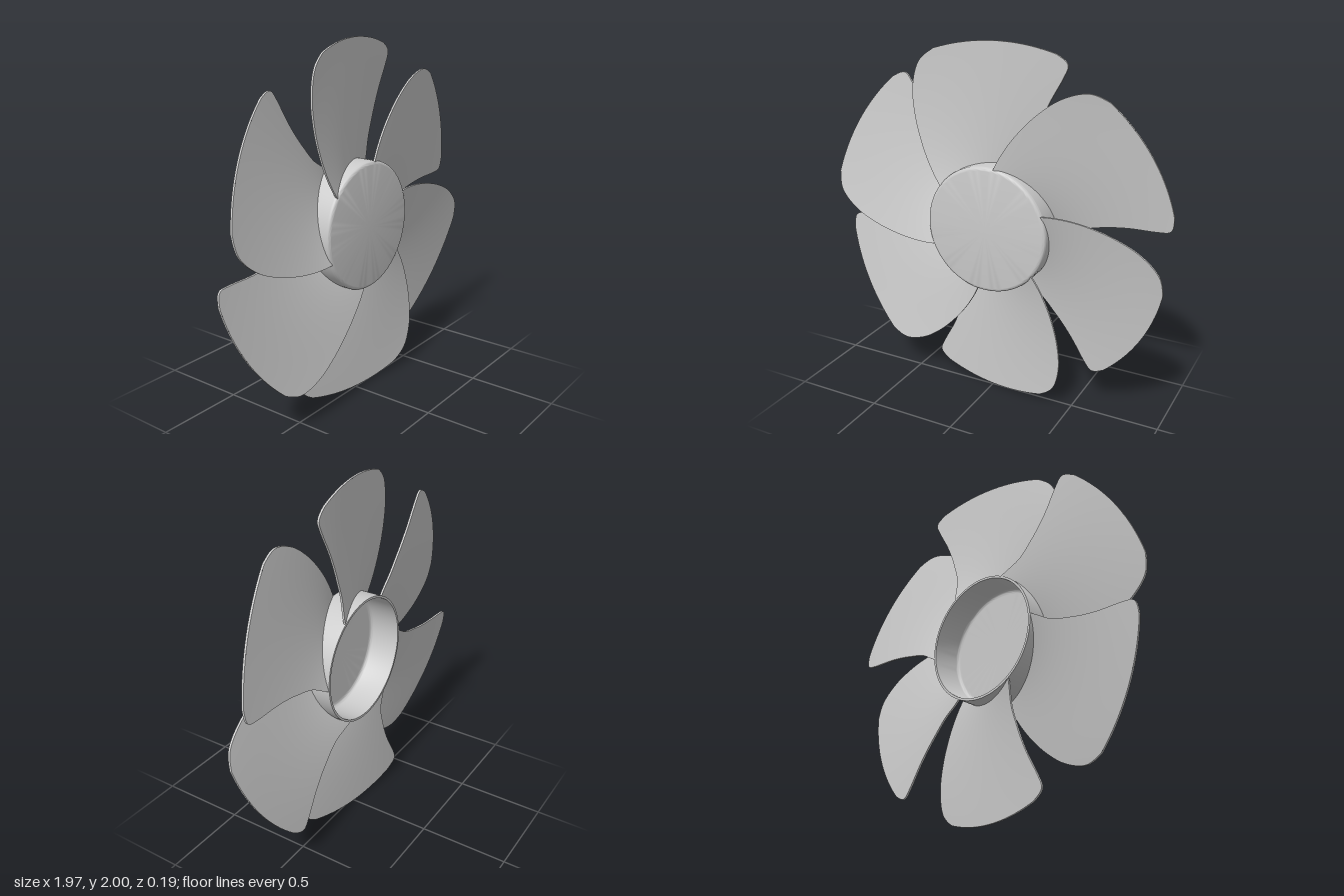
import * as THREE from 'three';
import { mergeGeometries, toCreasedNormals } from 'three/addons/utils/BufferGeometryUtils.js';

const BLADES = 6;
const HALF_THICKNESS = 0.006;
const material = new THREE.MeshStandardMaterial({ color: 0xcccccc });

// Blade edges as (angle in degrees from the blade axis, radius)
const edge = (pts) => new THREE.SplineCurve(pts.map(([a, r]) => new THREE.Vector2(a, r)));
const leading = edge([[52.3, 0.35], [47, 0.465], [41.3, 0.6], [35.9, 0.741], [31, 0.863], [25.1, 0.966], [19, 1.003]]);
const trailing = edge([[-34.5, 0.35], [-25.5, 0.465], [-23.1, 0.598], [-22.7, 0.737], [-23.7, 0.907], [-23.2, 0.979], [-19, 1.003]]);

// Point on the blade: s runs leading to trailing, t runs hub to tip
function bladePoint(s, t, side) {
  const p = leading.getPoint(t).lerp(trailing.getPoint(t), s);
  const r = p.y - 0.012 * s * (1 - s) * t;
  const k = (r - 0.35) / 0.65;
  const lerp = THREE.MathUtils.lerp;
  // pitch: the leading edge is forward, the trailing edge is back
  const twist = (p.x - lerp(9, 1.5, k)) / lerp(43, 26, k);
  const z = twist * lerp(0.088, 0.072, k) - 0.008 * k * (1 - twist * twist);
  const a = THREE.MathUtils.degToRad(p.x);
  return [-r * Math.sin(a), r * Math.cos(a), z + side * HALF_THICKNESS];
}

// Smooth surface from a function of u and v
function surface(fn, nu, nv) {
  const positions = [], index = [];
  for (let j = 0; j <= nv; j++) {
    for (let i = 0; i <= nu; i++) {
      positions.push(...fn(i / nu, j / nv));
      if (i < nu && j < nv) {
        const a = j * (nu + 1) + i, b = a + nu + 1;
        index.push(a, a + 1, b + 1, a, b + 1, b);
      }
    }
  }
  const geometry = new THREE.BufferGeometry();
  geometry.setAttribute('position', new THREE.Float32BufferAttribute(positions, 3));
  geometry.setIndex(index);
  geometry.computeVertexNormals();
  return geometry;
}

function bladeGeometry() {
  const front = surface((u, v) => bladePoint(u, v, 1), 28, 48);
  const back = surface((u, v) => bladePoint(1 - u, v, -1), 28, 48);
  // rim: up the leading edge, across the tip, down the trailing edge
  const rim = surface((u, v) => {
    const w = u * 3, side = 1 - 2 * v;
    if (w <= 1) return bladePoint(0, w, side);
    if (w <= 2) return bladePoint(w - 1, 1, side);
    return bladePoint(1, 3 - w, side);
  }, 144, 1);
  return mergeGeometries([front, back, rim]);
}

// Cup-shaped hub, closed at the front and open at the back
function hubGeometry() {
  const profile = [[0, 0.083], [0.315, 0.083]];
  const round = (cx, cy, radius, from, to) => {
    for (let i = 0; i <= 6; i++) {
      const a = (from + (to - from) * i / 6) * Math.PI / 180;
      profile.push([cx + radius * Math.cos(a), cy + radius * Math.sin(a)]);
    }
  };
  round(0.323, 0.063, 0.02, 90, 0);
  profile.push([0.343, -0.095], [0.356, -0.095]);
  round(0.336, 0.077, 0.02, 0, 90);
  profile.push([0, 0.097]);
  const lathe = new THREE.LatheGeometry(profile.map(([x, y]) => new THREE.Vector2(x, y)), 96);
  return toCreasedNormals(lathe.rotateX(Math.PI / 2), 0.6);
}

export function createModel() {
  const fan = new THREE.Group();
  fan.name = 'fan';
  fan.position.y = 1;

  const hub = new THREE.Mesh(hubGeometry(), material);
  hub.name = 'hub';
  fan.add(hub);

  const geometry = bladeGeometry();
  for (let i = 0; i < BLADES; i++) {
    const blade = new THREE.Mesh(geometry, material);
    blade.name = `blade${i + 1}`;
    blade.rotation.z = (i / BLADES) * Math.PI * 2;
    fan.add(blade);
  }

  const model = new THREE.Group();
  model.name = 'fanRotor';
  model.add(fan);
  return model;
}
